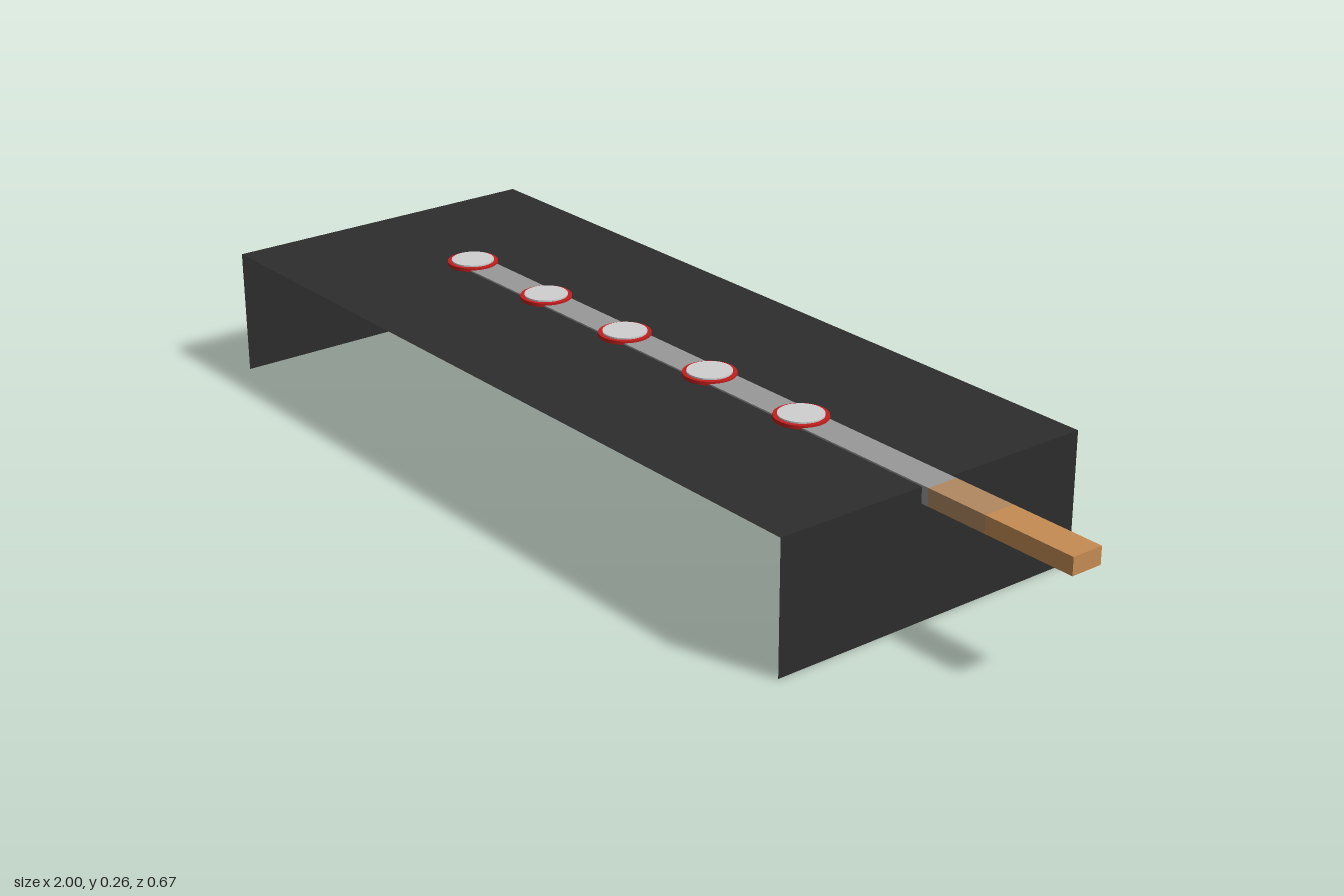
import * as THREE from 'three';

const mat = (name, color) => new THREE.MeshStandardMaterial({ name, color, side: THREE.DoubleSide });

export function createModel() {
  const group = new THREE.Group();
  const black = mat('black panel', 0x2d2d2d);
  const grey = mat('grey rail', 0x999999);
  const pale = mat('pale cap', 0xd0d0d0);
  const red = mat('red rim', 0xc41e1e);
  const wood = mat('wood', 0xc68c53);
  const dullWood = mat('dull wood', 0xb08860);

  const add = (parent, name, geometry, material, x, y, z) => {
    const mesh = new THREE.Mesh(geometry, material);
    mesh.name = name;
    mesh.position.set(x, y, z);
    parent.add(mesh);
    return mesh;
  };
  // Thin sheets, named by the direction they face
  const flat = (w, d) => new THREE.PlaneGeometry(w, d).rotateX(-Math.PI / 2);
  const upright = (w, h) => new THREE.PlaneGeometry(w, h);
  const end = (d, h) => new THREE.PlaneGeometry(d, h).rotateY(Math.PI / 2);

  // Casing: top, back and two ends, open at the front and below
  const casing = new THREE.Group();
  casing.name = 'casing';
  const x0 = -1, x1 = 0.665, depth = 0.667, height = 0.25;
  const mid = (x0 + x1) / 2;
  add(casing, 'top', flat(x1 - x0, depth), black, mid, height, 0);
  add(casing, 'back', upright(x1 - x0, height).rotateY(Math.PI), black, mid, height / 2, -depth / 2);
  add(casing, 'rightEnd', end(depth, height).rotateY(Math.PI), black, x0, height / 2, 0);
  add(casing, 'leftEnd', end(depth, height), black, x1, height / 2, 0);
  group.add(casing);

  // Channel-shaped bar, open below
  const barTop = 0.253, barHeight = 0.033, barWidth = 0.063;
  const barMid = barTop - barHeight / 2;
  function channel(name, a, b, material) {
    const part = new THREE.Group();
    part.name = name;
    const c = (a + b) / 2;
    add(part, 'barTop', flat(b - a, barWidth), material, c, barTop, 0);
    for (const s of [-1, 1]) {
      const side = upright(b - a, barHeight);
      if (s < 0) side.rotateY(Math.PI);
      add(part, 'barSide', side, material, c, barMid, s * barWidth / 2);
    }
    group.add(part);
    return part;
  }
  channel('rail', -0.665, 0.68, grey);
  channel('handleRoot', 0.68, 0.81, dullWood);
  const handle = channel('handle', 0.81, 1, wood);
  add(handle, 'handleEnd', end(barWidth, barHeight), wood, 1, barMid, 0);

  // Five round buttons: red wall and rim with a pale cap
  for (let i = 0; i < 5; i++) {
    const button = new THREE.Group();
    button.name = 'button';
    button.position.x = -0.665 + i * 0.249;
    const rimTop = 0.257, low = 0.224;
    add(button, 'wall', new THREE.CylinderGeometry(0.05, 0.05, rimTop - low, 32, 1, true), red, 0, (rimTop + low) / 2, 0);
    add(button, 'rim', new THREE.RingGeometry(0.042, 0.05, 32).rotateX(-Math.PI / 2), red, 0, rimTop, 0);
    add(button, 'cap', new THREE.CylinderGeometry(0.042, 0.042, 0.004, 32), pale, 0, 0.258, 0);
    group.add(button);
  }
  return group;
}
